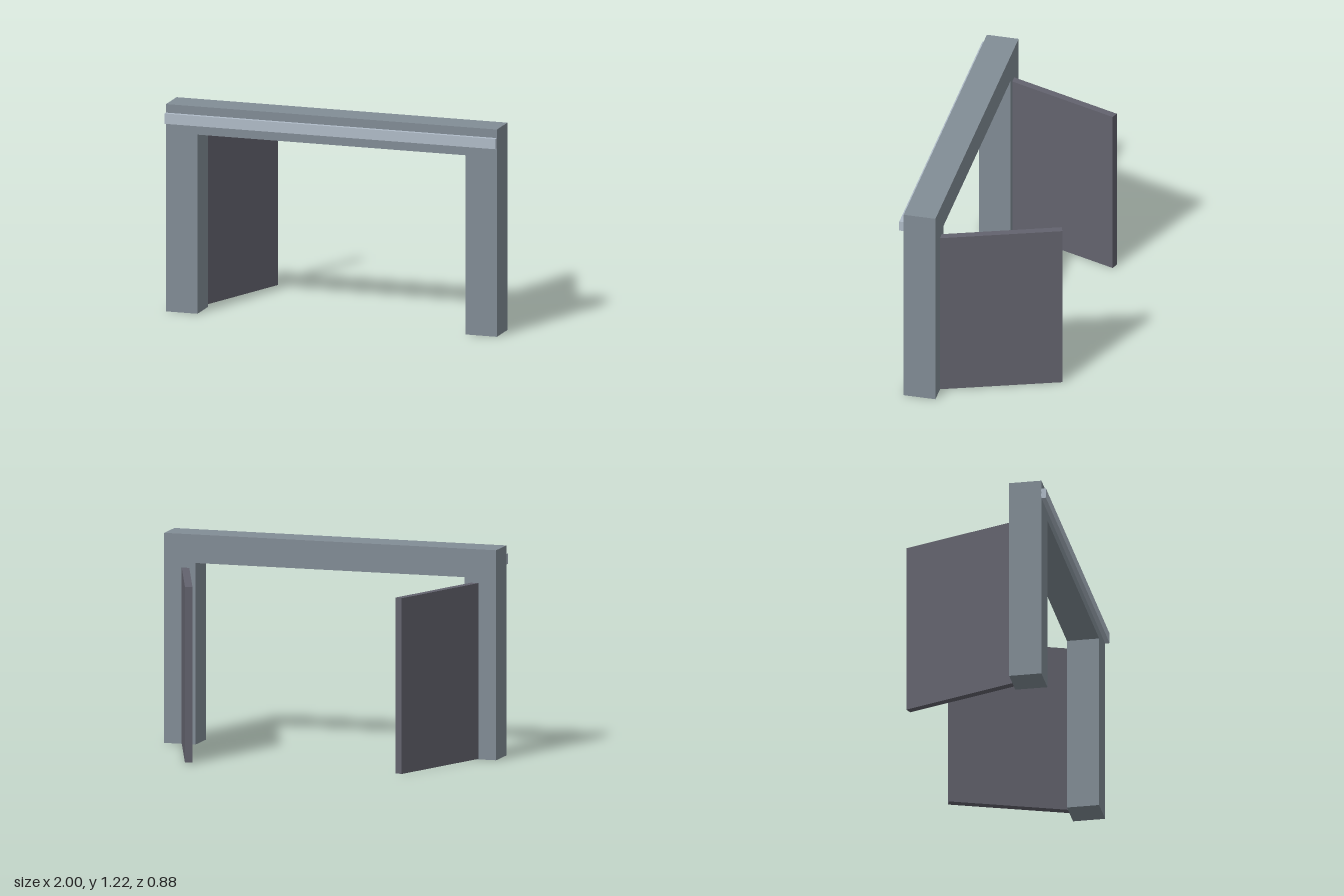
import * as THREE from 'three';

export function createModel() {
  const model = new THREE.Group();
  model.name = 'gateway';

  const material = (name, color) => {
    const m = new THREE.MeshStandardMaterial({ color });
    m.name = name;
    return m;
  };
  const steel = material('grey steel', 0x828d96);
  const trim = material('pale trim', 0xb0bcc8);
  const panel = material('dark door', 0x63636e);

  const box = (name, mat, size, pos, parent = model) => {
    const mesh = new THREE.Mesh(new THREE.BoxGeometry(...size), mat);
    mesh.name = name;
    mesh.position.set(...pos);
    parent.add(mesh);
    return mesh;
  };

  // Frame: one solid portal outline, extruded to its depth
  const outline = new THREE.Shape([
    [-1, 0], [-0.81, 0], [-0.81, 1.05], [0.81, 1.05],
    [0.81, 0], [1, 0], [1, 1.215], [-1, 1.215],
  ].map(([x, y]) => new THREE.Vector2(x, y)));
  const frame = new THREE.Mesh(
    new THREE.ExtrudeGeometry(outline, { depth: 0.187, bevelEnabled: false }), steel);
  frame.name = 'frame';
  frame.position.z = 0.223;
  model.add(frame);

  // Light strip across the front of the lintel
  box('lintelStrip', trim, [2, 0.06, 0.027], [0, 1.135, 0.4225]);

  // Doors hinged at the middle of each post, swung open to the back
  const length = 0.797;
  for (const [side, name] of [[1, 'left'], [-1, 'right']]) {
    const hinge = new THREE.Group();
    hinge.name = name + 'Door';
    hinge.position.set(side * 0.905, 0, 0.317);
    hinge.rotation.y = side * THREE.MathUtils.degToRad(20);
    box(name + 'DoorPanel', panel, [0.043, 1.017, length], [0, 0.5115, -length / 2], hinge);
    model.add(hinge);
  }

  return model;
}
